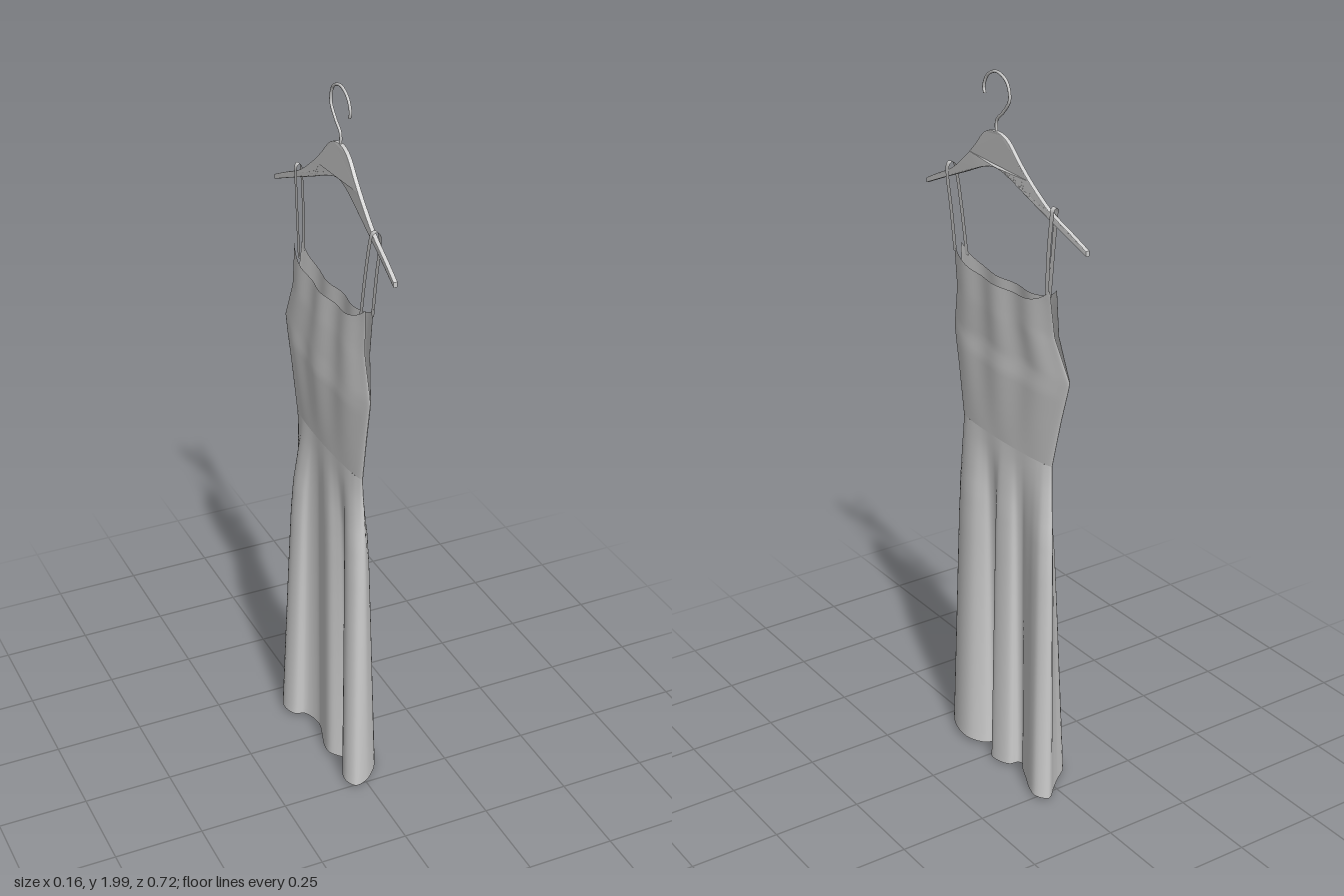
import * as THREE from 'three';
import { mergeVertices } from 'three/addons/utils/BufferGeometryUtils.js';

const cloth = new THREE.MeshStandardMaterial({ color: 0xcccccc, side: THREE.DoubleSide });
const solid = new THREE.MeshStandardMaterial({ color: 0xcccccc });
const V = (x, y, z) => new THREE.Vector3(x, y, z);

// Piecewise linear lookup in [key, value] pairs with rising keys
function lookup(table, k) {
  if (k <= table[0][0]) return table[0][1];
  for (let i = 1; i < table.length; i++) {
    const [k0, v0] = table[i - 1], [k1, v1] = table[i];
    if (k <= k1) return v0 + (v1 - v0) * (k - k0) / (k1 - k0);
  }
  return table[table.length - 1][1];
}

// Surface from a grid of points: fn(u, v) with u, v in 0..1
function surface(nu, nv, fn) {
  const pos = [], index = [];
  for (let j = 0; j <= nv; j++)
    for (let i = 0; i <= nu; i++) pos.push(...fn(i / nu, j / nv).toArray());
  for (let j = 0; j < nv; j++)
    for (let i = 0; i < nu; i++) {
      const a = j * (nu + 1) + i, b = a + 1, c = a + nu + 1, d = c + 1;
      index.push(a, b, d, a, d, c);
    }
  let g = new THREE.BufferGeometry();
  g.setAttribute('position', new THREE.Float32BufferAttribute(pos, 3));
  g.setIndex(index);
  g = mergeVertices(g, 1e-5);
  g.computeVertexNormals();
  return g;
}

function add(group, name, geometry, material) {
  const mesh = new THREE.Mesh(geometry, material);
  mesh.name = name;
  group.add(mesh);
}

const WAIST = 0.99, WAIST_X = 0.019;

// Hem outline as [x, z]: one chain along +x, one back along -x
const hemLeft = [[0.05, -0.283], [0.076, -0.255], [0.07, -0.215], [0.05, -0.17], [0.03, -0.125],
  [0.016, -0.105], [0.022, -0.09], [0.045, -0.085], [0.06, -0.05], [0.058, -0.01], [0.035, 0],
  [0.016, 0.012], [0.016, 0.04], [0.04, 0.052], [0.067, 0.09], [0.07, 0.14], [0.05, 0.2], [0.02, 0.237]];
const hemRight = [[-0.005, 0.255], [-0.038, 0.262], [-0.056, 0.23], [-0.045, 0.188], [-0.02, 0.178],
  [-0.01, 0.15], [-0.025, 0.13], [-0.045, 0.1], [-0.044, 0.06], [-0.025, 0], [-0.016, -0.04],
  [-0.035, -0.095], [-0.065, -0.107], [-0.08, -0.15], [-0.065, -0.19], [-0.02, -0.225], [0.012, -0.252]];

function skirt() {
  const hem = [], waist = [];
  [[hemLeft, 1], [hemRight, -1]].forEach(([chain, s]) => chain.forEach(([x, z], i) => {
    const u = s * (2 * i / chain.length - 1);
    hem.push(V(x, 0.008 + 0.012 * Math.abs(Math.sin(z * 9)), z));
    waist.push(V(s * WAIST_X * Math.sqrt(1 - u * u), WAIST, -0.003 + 0.209 * u));
  }));
  const hemCurve = new THREE.CatmullRomCurve3(hem, true);
  const waistCurve = new THREE.CatmullRomCurve3(waist, true);
  const spread = [[0, 0], [0.05, 0.1], [0.1, 0.24], [0.2, 0.46], [0.3, 0.57], [0.5, 0.7], [1, 1]];
  return surface(140, 30, (u, v) => {
    const a = waistCurve.getPoint(u % 1), b = hemCurve.getPoint(u % 1);
    const k = lookup(spread, v);
    return V(a.x + (b.x - a.x) * k, a.y + (b.y - a.y) * v, a.z + (b.z - a.z) * k);
  });
}

// Bodice edge on each side, by height
const edgePlus = [[0.99, 0.206], [1.13, 0.228], [1.243, 0.249], [1.36, 0.217], [1.49, 0.214]];
const edgeMinus = [[0.99, -0.212], [1.13, -0.249], [1.25, -0.286], [1.36, -0.234], [1.49, -0.224]];
const depth = [[0.99, WAIST_X], [1.2, 0.026], [1.45, 0.012]];
const armGap = [[1.25, 0], [1.35, 0.006], [1.49, 0.011]];
const middle = [[0.99, 0], [1.25, 0], [1.47, 0.01]];

// One bodice panel; s = 1 for the +x panel, -1 for the other
function panel(s) {
  return surface(48, 32, (p, v) => {
    const u = -Math.cos(p * Math.PI);
    const top = 1.435 + 0.05 * u ** 4;
    const y = WAIST + (top - WAIST) * v;
    const z0 = lookup(edgeMinus, y), z1 = lookup(edgePlus, y);
    const round = Math.sqrt(Math.max(0, 1 - u * u));
    const ripple = 0.005 * Math.sin(u * 9 + s) * round * Math.sin(v * 2);
    const x = lookup(middle, y) + s * (lookup(depth, y) * round + lookup(armGap, y)) + ripple;
    return V(x, y, z0 + (z1 - z0) * (u + 1) / 2);
  });
}

// Flat strap looping over the hanger arm
function strap(side) {
  const path = new THREE.CatmullRomCurve3([
    V(0.021, 1.465, 0.211), V(0.025, 1.58, 0.222), V(0.027, 1.675, 0.236), V(0.024, 1.7, 0.236),
    V(0.016, 1.706, 0.234), V(0.008, 1.7, 0.23), V(0.005, 1.675, 0.224), V(0.001, 1.58, 0.208),
    V(-0.002, 1.455, 0.19)]);
  return surface(2, 40, (u, v) => {
    const q = path.getPoint(v);
    return V(q.x, q.y, side * (q.z + (u - 0.5) * 0.016));
  });
}

// Slightly bowed plate with a humped top
function hangerBody() {
  const upper = [[0.362, 1.628], [0.3, 1.657], [0.22, 1.693], [0.15, 1.742], [0.1, 1.785],
    [0.06, 1.825], [0.03, 1.841]];
  const lower = [[0.06, 1.737], [0.15, 1.7], [0.25, 1.66], [0.362, 1.614]];
  const mirror = (pts) => pts.map(([z, y]) => [-z, y]).reverse();
  const curve = (pts) => new THREE.SplineCurve(pts.map((q) => new THREE.Vector2(...q))).getPoints(48);
  const shape = new THREE.Shape([
    ...curve([...upper, [0, 1.845], ...mirror(upper)]),
    ...curve([...mirror(lower), [0, 1.75], ...lower])]);
  const g = new THREE.ExtrudeGeometry(shape, {
    depth: 0.008, bevelEnabled: true, bevelSize: 0.002, bevelThickness: 0.002, bevelOffset: -0.002, bevelSegments: 2 });
  g.translate(0, 0, -0.004).rotateY(Math.PI / 2);
  const p = g.attributes.position;
  for (let i = 0; i < p.count; i++)
    p.setX(i, p.getX(i) + 0.03 - 0.022 * (Math.abs(p.getZ(i)) / 0.362) ** 1.3);
  g.computeVertexNormals();
  return g;
}

function hook() {
  const pts = [[0, 1.83], [0, 1.872], [-0.03, 1.9], [-0.057, 1.937], [-0.045, 1.978], [0, 1.996],
    [0.042, 1.978], [0.058, 1.945], [0.053, 1.93]].map(([z, y]) => V(0.029, y, z));
  return new THREE.TubeGeometry(new THREE.CatmullRomCurve3(pts), 64, 0.004, 8);
}

export function createModel() {
  const model = new THREE.Group();
  model.name = 'dressOnHanger';
  add(model, 'skirt', skirt(), cloth);
  add(model, 'bodiceLeftPanel', panel(1), cloth);
  add(model, 'bodiceRightPanel', panel(-1), cloth);
  add(model, 'frontStrap', strap(1), cloth);
  add(model, 'backStrap', strap(-1), cloth);
  add(model, 'hanger', hangerBody(), solid);
  add(model, 'hook', hook(), solid);
  return model;
}
